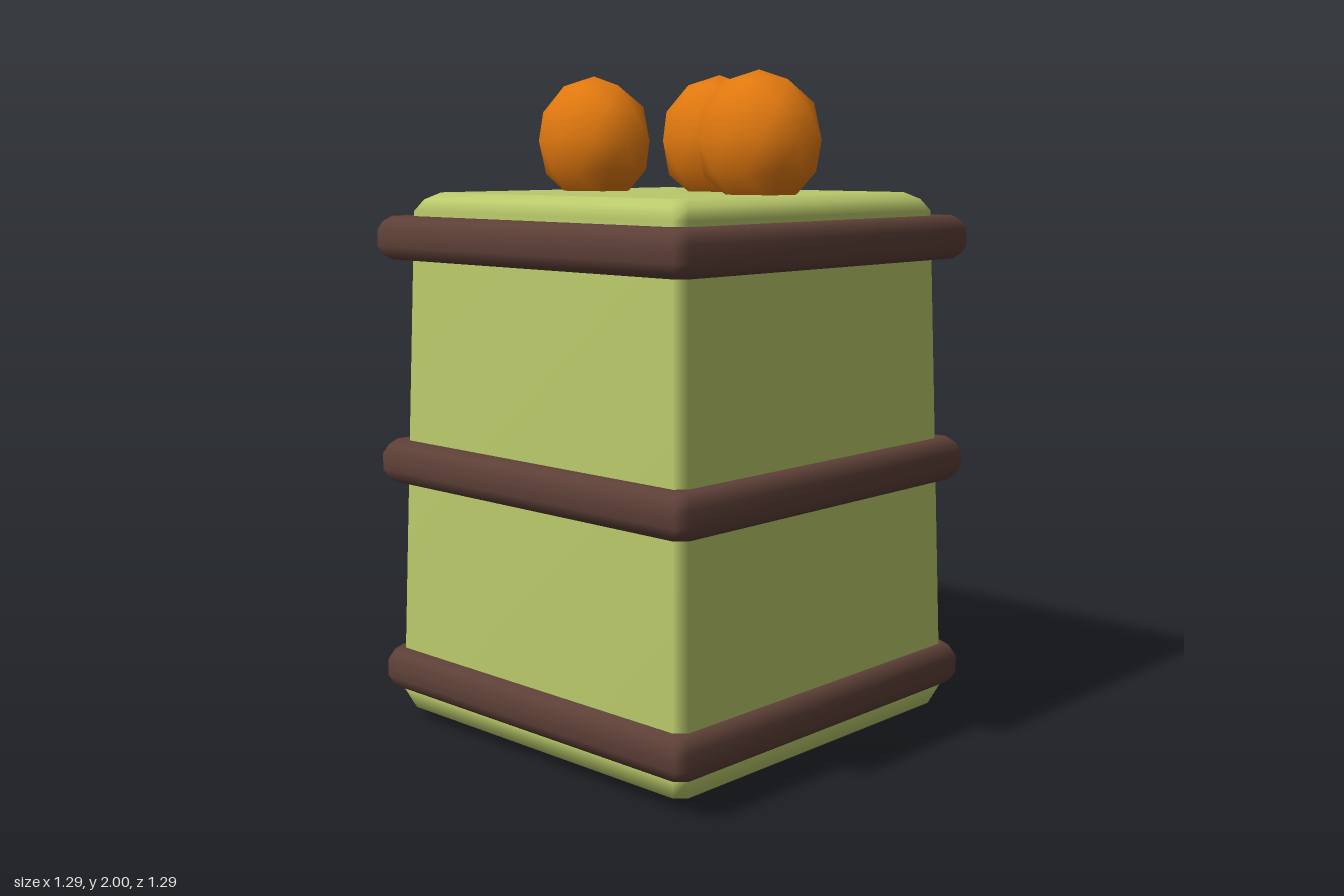
import * as THREE from 'three';

const green = new THREE.MeshStandardMaterial({ name: 'pistachio green', color: 0xb9c96a });
const brown = new THREE.MeshStandardMaterial({ name: 'chocolate brown', color: 0x5d4037 });
const orange = new THREE.MeshStandardMaterial({ name: 'orange', color: 0xe2790f });

// Smooth square block with cut corners, lofted through [height, halfWidth] sections
function bevelledBlock(sections, cut) {
  const positions = [], index = [];
  for (const [y, h] of sections) {
    const c = h - cut;
    for (const [x, z] of [[h, c], [c, h], [-c, h], [-h, c], [-h, -c], [-c, -h], [c, -h], [h, -c]]) {
      positions.push(x, y, z);
    }
  }
  const last = (sections.length - 1) * 8;
  for (let s = 0; s < last; s += 8) {
    for (let i = 0; i < 8; i++) {
      const a = s + i, b = s + (i + 1) % 8;
      index.push(a, a + 8, b, b, a + 8, b + 8);
    }
  }
  for (let i = 1; i < 7; i++) {
    index.push(0, i, i + 1);
    index.push(last, last + i + 1, last + i);
  }
  const geometry = new THREE.BufferGeometry();
  geometry.setAttribute('position', new THREE.Float32BufferAttribute(positions, 3));
  geometry.setIndex(index);
  geometry.computeVertexNormals();
  return geometry;
}

export function createModel() {
  const model = new THREE.Group();
  const add = (name, geometry, material, x, y, z) => {
    const mesh = new THREE.Mesh(geometry, material);
    mesh.name = name;
    mesh.position.set(x, y, z);
    model.add(mesh);
  };

  // Tapered cake body
  const body = bevelledBlock(
    [[0, 0.51], [0.04, 0.585], [0.1, 0.61], [1.59, 0.567], [1.625, 0.545], [1.645, 0.51]], 0.03);
  add('cakeBody', body, green, 0, 0, 0);

  // Three rounded bands
  const band = bevelledBlock(
    [[-0.065, 0.615], [-0.05, 0.633], [-0.025, 0.645], [0.025, 0.645], [0.05, 0.633], [0.065, 0.615]], 0.028);
  ['lowerBand', 'middleBand', 'upperBand'].forEach((name, i) => {
    add(name, band, brown, 0, [0.168, 0.825, 1.51][i], 0);
  });

  // Three faceted fruits on top
  const fruit = new THREE.IcosahedronGeometry(1, 1);
  fruit.rotateZ(-Math.atan(1 / ((1 + Math.sqrt(5)) / 2)));
  fruit.scale(0.203, 0.2, 0.157);
  add('rightFruit', fruit, orange, -0.343, 1.8, 0);
  add('backFruit', fruit, orange, 0, 1.8, -0.207);
  add('leftFruit', fruit, orange, 0.34, 1.8, 0);

  return model;
}
